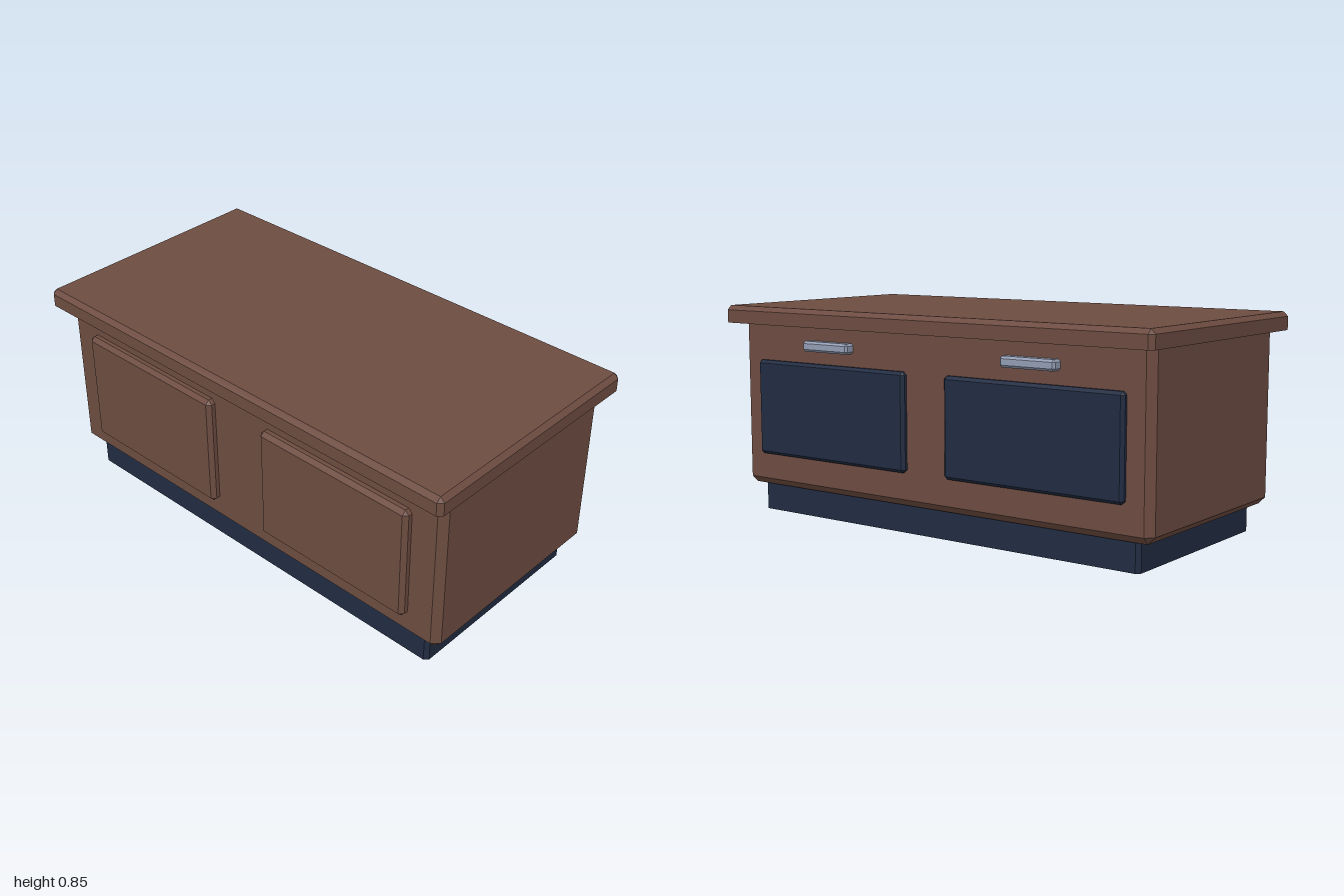
import * as THREE from 'three';
import { ConvexGeometry } from 'three/addons/geometries/ConvexGeometry.js';

function material(name, color) {
  const m = new THREE.MeshStandardMaterial({ color });
  m.name = name;
  return m;
}

// Box with bevelled edges; the bottom and top rims can be left square.
function bevelledBox(min, max, c, bevelBottom = true, bevelTop = true) {
  const [x0, y0, z0] = min;
  const [x1, y1, z1] = max;
  const points = [];
  for (const [x, sx] of [[x0, 1], [x1, -1]]) {
    for (const [z, sz] of [[z0, 1], [z1, -1]]) {
      for (const [y, sy, bevel] of [[y0, 1, bevelBottom], [y1, -1, bevelTop]]) {
        const rim = bevel ? y + sy * c : y;
        points.push(new THREE.Vector3(x, rim, z + sz * c));
        points.push(new THREE.Vector3(x + sx * c, rim, z));
        if (bevel) points.push(new THREE.Vector3(x + sx * c, y, z + sz * c));
      }
    }
  }
  return new ConvexGeometry(points);
}

export function createModel() {
  const group = new THREE.Group();
  group.name = 'desk';
  const wood = material('brown wood', 0x6d4c41);
  const navy = material('dark navy', 0x212c42);
  const metal = material('grey metal', 0x939db3);

  const add = (name, mat, ...box) => {
    const mesh = new THREE.Mesh(bevelledBox(...box), mat);
    mesh.name = name;
    group.add(mesh);
  };

  // Plinth, cabinet and worktop
  add('plinth', navy, [-0.9, 0, -0.41], [0.9, 0.12, 0.41], 0.015, false, false);
  add('cabinet', wood, [-0.965, 0.11, -0.445], [0.965, 0.78, 0.445], 0.028, true, false);
  add('worktop', wood, [-1, 0.775, -0.515], [1, 0.845, 0.515], 0.018, false, true);

  // Front panels, back drawers and their handles, one of each per side
  for (const [side, s] of [['left', 1], ['right', -1]]) {
    const span = (a, b) => (s > 0 ? [a, b] : [-b, -a]);
    const [p0, p1] = span(0.13, 0.83);
    add(side + 'FrontPanel', wood, [p0, 0.207, 0.41], [p1, 0.678, 0.478], 0.016);
    const [d0, d1] = span(0.095, 0.865);
    add(side + 'Drawer', navy, [d0, 0.243, -0.468], [d1, 0.627, -0.42], 0.012);
    const [h0, h1] = span(0.362, 0.598);
    add(side + 'Handle', metal, [h0, 0.677, -0.485], [h1, 0.718, -0.43], 0.009);
  }
  return group;
}
